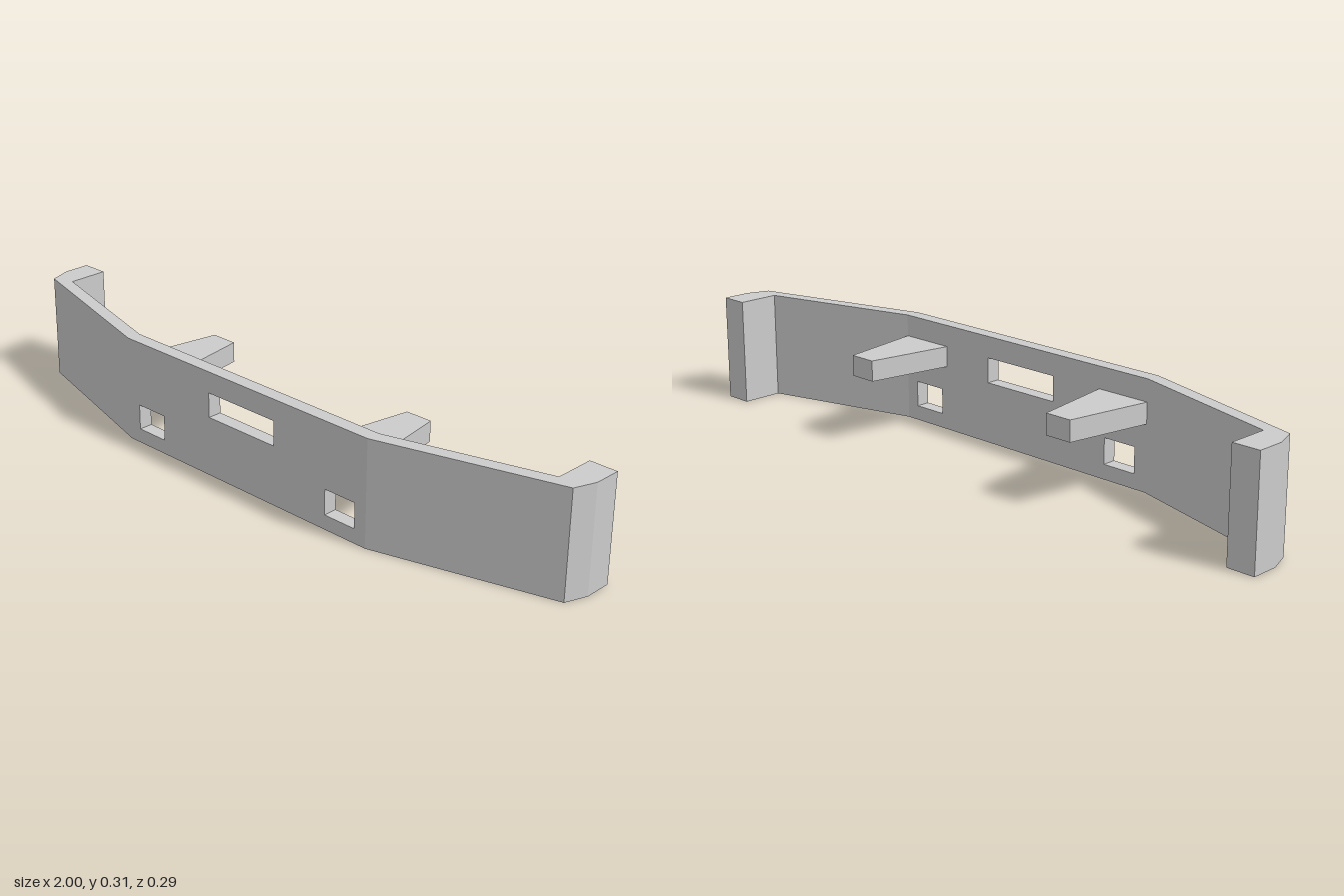
import * as THREE from 'three';

const HEIGHT = 0.313;
const material = new THREE.MeshStandardMaterial({ color: 0xcccccc, flatShading: true });

// Extrude a plan outline of [x, z] points upward from y0; side = -1 mirrors it in x.
function planPart(name, points, y0, height, side) {
  const shape = new THREE.Shape(points.map(([x, z]) => new THREE.Vector2(x * side, -z)));
  const geometry = new THREE.ExtrudeGeometry(shape, { depth: height, bevelEnabled: false });
  geometry.rotateX(-Math.PI / 2);
  geometry.translate(0, y0, 0);
  const mesh = new THREE.Mesh(geometry, material);
  mesh.name = name;
  return mesh;
}

function rectangle(path, x0, x1, y0, y1) {
  path.moveTo(x0, y0);
  path.lineTo(x1, y0);
  path.lineTo(x1, y1);
  path.lineTo(x0, y1);
  path.closePath();
  return path;
}

export function createModel() {
  const bumper = new THREE.Group();
  bumper.name = 'bumper';

  // Flat centre panel with one wide slot and two small openings
  const face = rectangle(new THREE.Shape(), -0.457, 0.457, 0, HEIGHT);
  face.holes.push(
    rectangle(new THREE.Path(), -0.125, 0.125, 0.177, 0.25),
    rectangle(new THREE.Path(), 0.313, 0.418, 0.043, 0.118),
    rectangle(new THREE.Path(), -0.418, -0.313, 0.043, 0.118),
  );
  const panelGeometry = new THREE.ExtrudeGeometry(face, { depth: 0.042, bevelEnabled: false });
  panelGeometry.translate(0, 0, 0.104);
  const panel = new THREE.Mesh(panelGeometry, material);
  panel.name = 'centrePanel';
  bumper.add(panel);

  // Swept-back wing ending in a chamfered return
  const wing = [
    [0.457, 0.146], [0.977, 0], [1, -0.065], [1, -0.146],
    [0.918, -0.146], [0.918, -0.024], [0.457, 0.104],
  ];
  // Tapered mounting arm behind the panel
  const arm = [[0.457, 0.104], [0.415, -0.146], [0.333, -0.146], [0.291, 0.104]];

  for (const [label, side] of [['left', 1], ['right', -1]]) {
    bumper.add(planPart(label + 'Wing', wing, 0, HEIGHT, side));
    bumper.add(planPart(label + 'MountingArm', arm, 0.19, 0.06, side));
  }
  return bumper;
}
